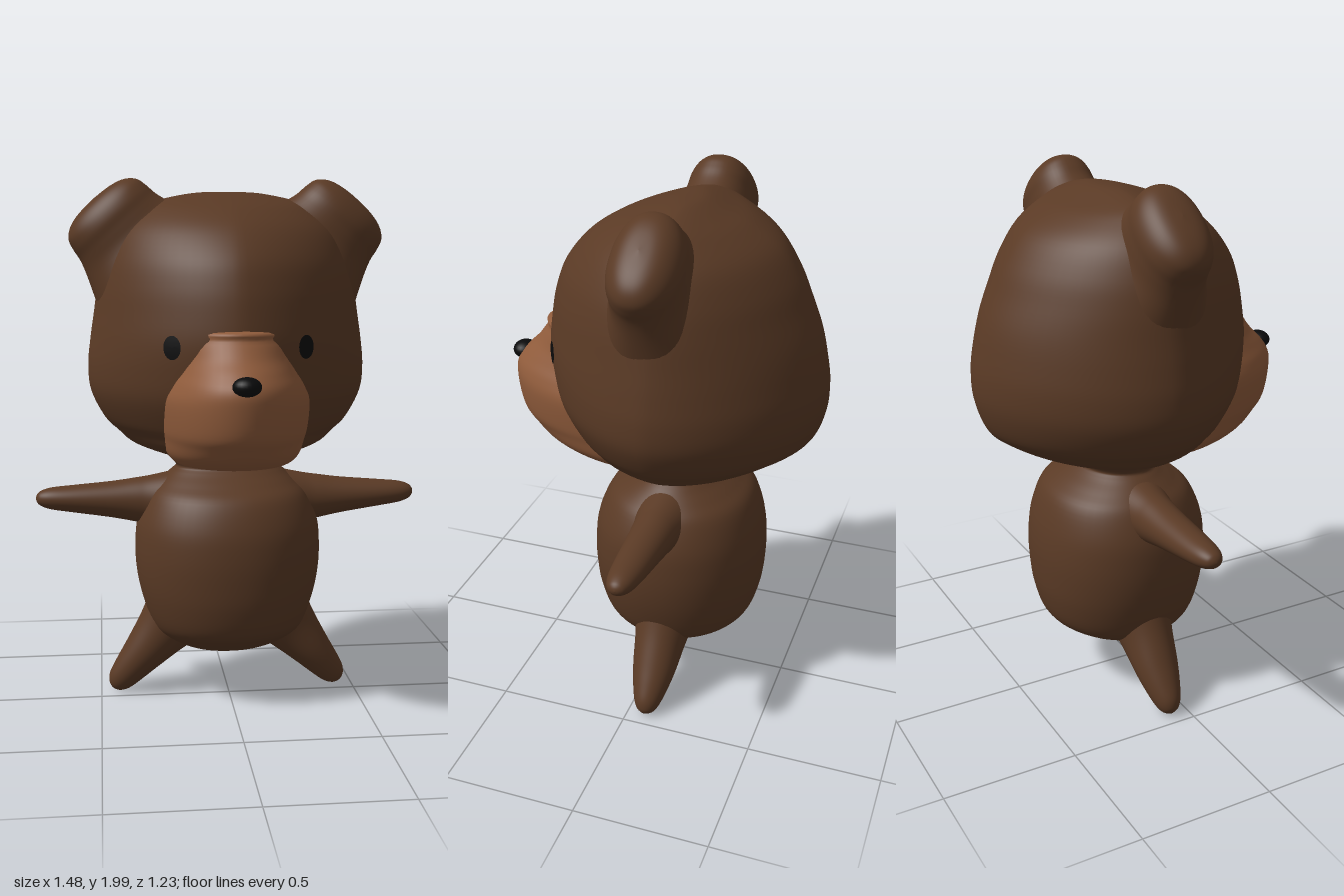
import * as THREE from 'three';

const fur = new THREE.MeshStandardMaterial({ color: 0x5a3a25 });
fur.name = 'dark brown fur';
const tan = new THREE.MeshStandardMaterial({ color: 0x8f5b3b });
tan.name = 'tan muzzle';
const black = new THREE.MeshStandardMaterial({ color: 0x0a0a0b });
black.name = 'black';

// Catmull-Rom refinement of cross-section rows
function refine(rows, steps = 5) {
  const out = [];
  const at = (i) => rows[Math.min(Math.max(i, 0), rows.length - 1)];
  for (let i = 0; i < rows.length - 1; i++) {
    for (let k = 0; k < steps; k++) {
      const t = k / steps;
      out.push(rows[i].map((p1, c) => {
        const p0 = at(i - 1)[c], p2 = at(i + 1)[c], p3 = at(i + 2)[c];
        const v = p1 + 0.5 * t * (p2 - p0 + t * (2 * p0 - 5 * p1 + 4 * p2 - p3 + t * (3 * (p1 - p2) + p3 - p0)));
        return c ? Math.max(v, 0) : v;
      }));
    }
  }
  out.push(rows[rows.length - 1]);
  return out;
}

// Lofts rows of [distance, half width, front depth, back depth] along a direction in the xy plane
function loft(rows, origin, dir, power = 2, sides = 56) {
  const [ox, oy, oz] = origin;
  const len = Math.hypot(dir[0], dir[1]);
  const dx = dir[0] / len, dy = dir[1] / len;
  const dense = refine(rows);
  const pos = [], index = [];
  const bend = (v) => Math.sign(v) * Math.pow(Math.abs(v), 2 / power);
  dense.forEach(([s, w, front, back], i) => {
    for (let j = 0; j < sides; j++) {
      const t = (j / sides) * Math.PI * 2;
      const u = w * bend(Math.cos(t));
      const sn = bend(Math.sin(t));
      pos.push(ox + s * dx + u * dy, oy + s * dy - u * dx, oz + sn * (sn > 0 ? front : back));
      if (i < dense.length - 1) {
        const a = i * sides + j, b = i * sides + ((j + 1) % sides);
        index.push(a, a + sides, b, b, a + sides, b + sides);
      }
    }
  });
  const geo = new THREE.BufferGeometry();
  geo.setAttribute('position', new THREE.Float32BufferAttribute(pos, 3));
  geo.setIndex(index);
  geo.computeVertexNormals();
  return geo;
}

const UP = [0, 1];
const HEAD_Z = -0.1, HEAD_POWER = 1.7;
const headRows = [
  [0.925, 0, 0, 0], [0.928, 0.15, 0.1, 0.1], [0.945, 0.22, 0.2, 0.19], [1.0, 0.36, 0.38, 0.33],
  [1.05, 0.42, 0.42, 0.42], [1.1, 0.47, 0.45, 0.475], [1.2, 0.52, 0.5, 0.51], [1.3, 0.53, 0.52, 0.515],
  [1.4, 0.52, 0.53, 0.5], [1.5, 0.505, 0.52, 0.475], [1.6, 0.49, 0.5, 0.435], [1.7, 0.465, 0.46, 0.39],
  [1.8, 0.42, 0.375, 0.32], [1.87, 0.35, 0.27, 0.22], [1.91, 0.28, 0.17, 0.13],
  [1.942, 0.13, 0.06, 0.05], [1.947, 0, 0, 0],
];
const muzzleRows = [
  [0.932, 0, 0, 0], [0.936, 0.15, 0.08, 0.05], [0.945, 0.19, 0.17, 0.05], [0.965, 0.225, 0.29, 0.05],
  [1.0, 0.25, 0.375, 0.05], [1.05, 0.263, 0.43, 0.05], [1.1, 0.274, 0.468, 0.05], [1.2, 0.283, 0.487, 0.05],
  [1.26, 0.265, 0.485, 0.05], [1.31, 0.243, 0.45, 0.05], [1.36, 0.23, 0.4, 0.05],
  [1.42, 0.222, 0.355, 0.05], [1.455, 0.19, 0.325, 0.05], [1.475, 0, 0, 0],
];
const bodyRows = [
  [0.17, 0, 0, 0], [0.176, 0.1, 0.07, 0.08], [0.2, 0.18, 0.14, 0.14], [0.25, 0.26, 0.235, 0.235],
  [0.3, 0.3, 0.29, 0.29], [0.4, 0.335, 0.32, 0.32], [0.5, 0.355, 0.33, 0.33], [0.6, 0.36, 0.33, 0.33],
  [0.7, 0.35, 0.315, 0.315], [0.8, 0.31, 0.27, 0.28], [0.85, 0.265, 0.205, 0.225],
  [0.89, 0.22, 0.145, 0.17], [0.915, 0.2, 0.125, 0.155], [0.96, 0.24, 0.17, 0.2],
];
// Limb and ear rows: [distance, half width, half thickness]
const earRows = [
  [-0.25, 0.27, 0.21], [-0.12, 0.215, 0.145], [-0.05, 0.19, 0.13], [0, 0.182, 0.125],
  [0.04, 0.17, 0.108], [0.07, 0.135, 0.08], [0.086, 0.08, 0.045], [0.092, 0, 0],
];
const armRows = [
  [0, 0.12, 0.12], [0.1, 0.096, 0.092], [0.16, 0.085, 0.083], [0.25, 0.07, 0.075], [0.4, 0.052, 0.063],
  [0.48, 0.042, 0.051], [0.52, 0.029, 0.035], [0.535, 0.015, 0.018], [0.54, 0, 0],
];
const legRows = [
  [-0.12, 0.15, 0.13], [0, 0.11, 0.102], [0.12, 0.082, 0.085], [0.2, 0.066, 0.068],
  [0.26, 0.052, 0.05], [0.29, 0.035, 0.034], [0.303, 0.018, 0.017], [0.308, 0, 0],
];
const symmetric = (rows) => rows.map(([s, w, h]) => [s, w, h, h]);

// Front surface depth of the head at (x, y)
const denseHead = refine(headRows);
function headFront(x, y) {
  const i = denseHead.findIndex((r) => r[0] > y);
  const a = denseHead[i - 1], b = denseHead[i];
  const t = (y - a[0]) / (b[0] - a[0]);
  const w = a[1] + (b[1] - a[1]) * t, f = a[2] + (b[2] - a[2]) * t;
  return HEAD_Z + f * Math.pow(1 - Math.pow(Math.abs(x) / w, HEAD_POWER), 1 / HEAD_POWER);
}

// Thin oval plate that follows the face
function eyeGeometry(side) {
  const geo = new THREE.RingGeometry(0.001, 1, 28, 4);
  const p = geo.attributes.position;
  for (let i = 0; i < p.count; i++) {
    const x = side * 0.236 + p.getX(i) * 0.029;
    const y = 1.395 + p.getY(i) * 0.042;
    p.setXYZ(i, x, y, headFront(x, y) + 0.006);
  }
  geo.computeVertexNormals();
  return geo;
}

export function createModel() {
  const model = new THREE.Group();
  model.name = 'bear';
  const add = (name, geo, mat) => {
    const mesh = new THREE.Mesh(geo, mat);
    mesh.name = name;
    model.add(mesh);
    return mesh;
  };

  add('head', loft(headRows, [0, 0, HEAD_Z], UP, HEAD_POWER, 72), fur);
  add('muzzle', loft(muzzleRows, [0, 0, 0.1], UP), tan);
  add('body', loft(bodyRows, [0, 0, -0.07], UP, 2.1), fur);

  // Nose tip
  const nose = add('nose', new THREE.SphereGeometry(1, 24, 16), black);
  nose.scale.set(0.05, 0.034, 0.045);
  nose.position.set(0, 1.28, 0.57);

  // Mirrored parts
  for (const [label, side] of [['left', 1], ['right', -1]]) {
    add(label + 'Ear', loft(symmetric(earRows), [side * 0.44, 1.85, -0.085], [side * 0.66, 0.75], 2.2), fur);
    add(label + 'Arm', loft(symmetric(armRows), [side * 0.2, 0.77, -0.073], [side, 0.033]), fur);
    add(label + 'Leg', loft(symmetric(legRows), [side * 0.255, 0.25, -0.07], [side * 0.65, -0.76]), fur);
    add(label + 'Eye', eyeGeometry(side), black);
  }
  return model;
}
